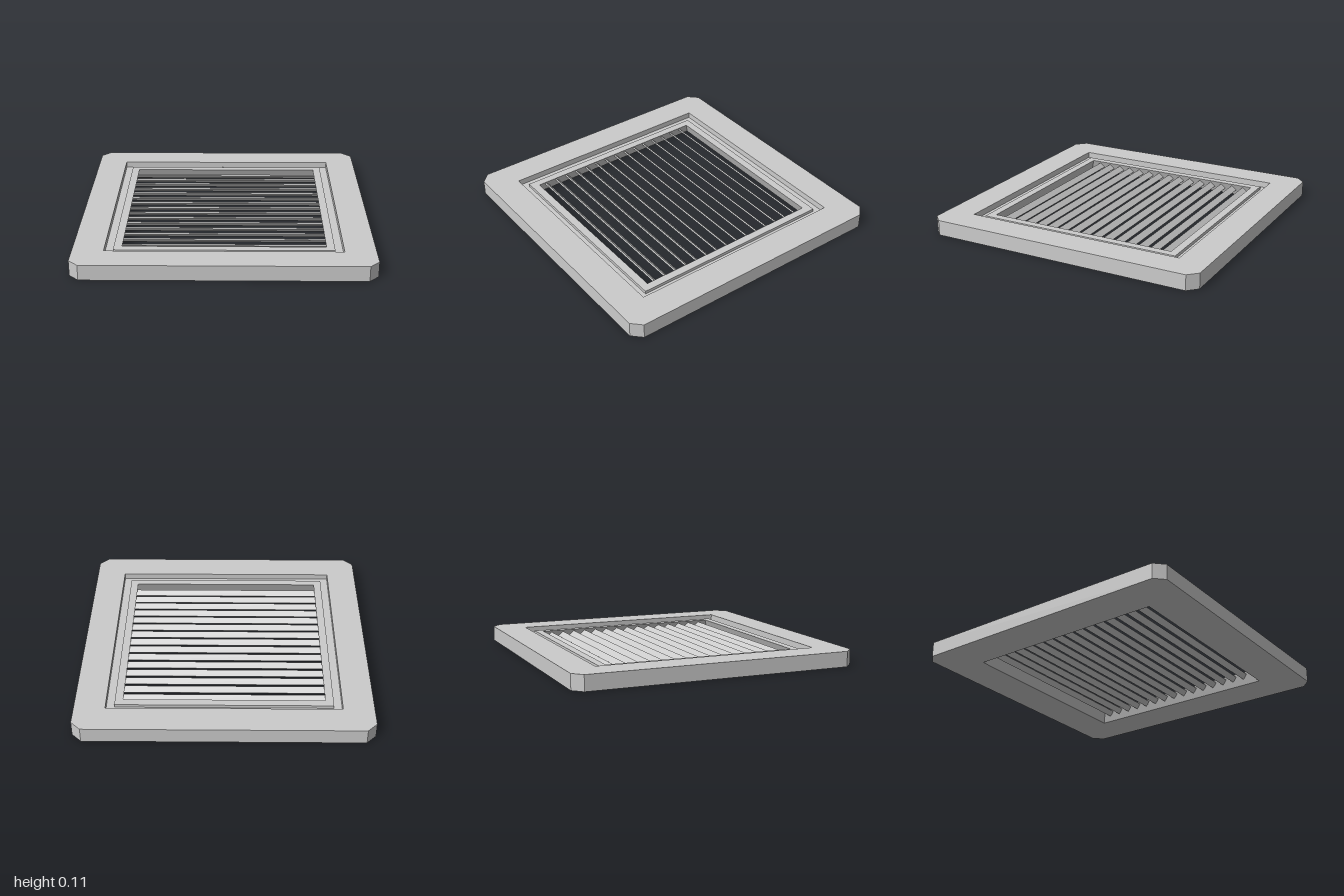
import * as THREE from 'three';

const HEIGHT = 0.107;
const material = new THREE.MeshStandardMaterial({ color: 0xcccccc, flatShading: true });

function addMesh(parent, name, geometry) {
  const mesh = new THREE.Mesh(geometry, material);
  mesh.name = name;
  parent.add(mesh);
  return mesh;
}

// Square outline with optionally clipped corners
function squarePoints(half, clip = 0) {
  const a = half - clip;
  const corners = clip
    ? [[half, -a], [half, a], [a, half], [-a, half], [-half, a], [-half, -a], [-a, -half], [a, -half]]
    : [[half, -half], [half, half], [-half, half], [-half, -half]];
  return corners.map(([x, y]) => new THREE.Vector2(x, y));
}

export function createModel() {
  const model = new THREE.Group();
  model.name = 'louveredVent';

  // Outer frame with clipped corners
  const outline = new THREE.Shape(squarePoints(1, 0.065));
  outline.holes.push(new THREE.Path(squarePoints(0.79).reverse()));
  const frame = new THREE.ExtrudeGeometry(outline, { depth: HEIGHT, bevelEnabled: false });
  frame.rotateX(-Math.PI / 2);
  addMesh(model, 'outerFrame', frame);

  // Inner rim: groove floor, raised lip and opening that flares downward
  const profile = [
    [0.715, 0], [0.79, 0], [0.79, 0.065], [0.735, 0.065],
    [0.735, 0.087], [0.68, 0.087], [0.715, 0],
  ].map(([half, y]) => new THREE.Vector2(half * Math.SQRT2, y));
  addMesh(model, 'innerRim', new THREE.LatheGeometry(profile, 4, Math.PI / 4));

  // Tilted louvre slats, front edge high
  const slats = new THREE.Group();
  slats.name = 'slats';
  model.add(slats);
  const slatGeometry = new THREE.BoxGeometry(1.39, 0.01, 0.046);
  for (let i = 0; i < 15; i++) {
    const slat = addMesh(slats, `slat${i + 1}`, slatGeometry);
    slat.position.set(0, 0.055, -0.625 + i * 0.088);
    slat.rotation.x = -Math.PI / 4;
  }

  return model;
}
